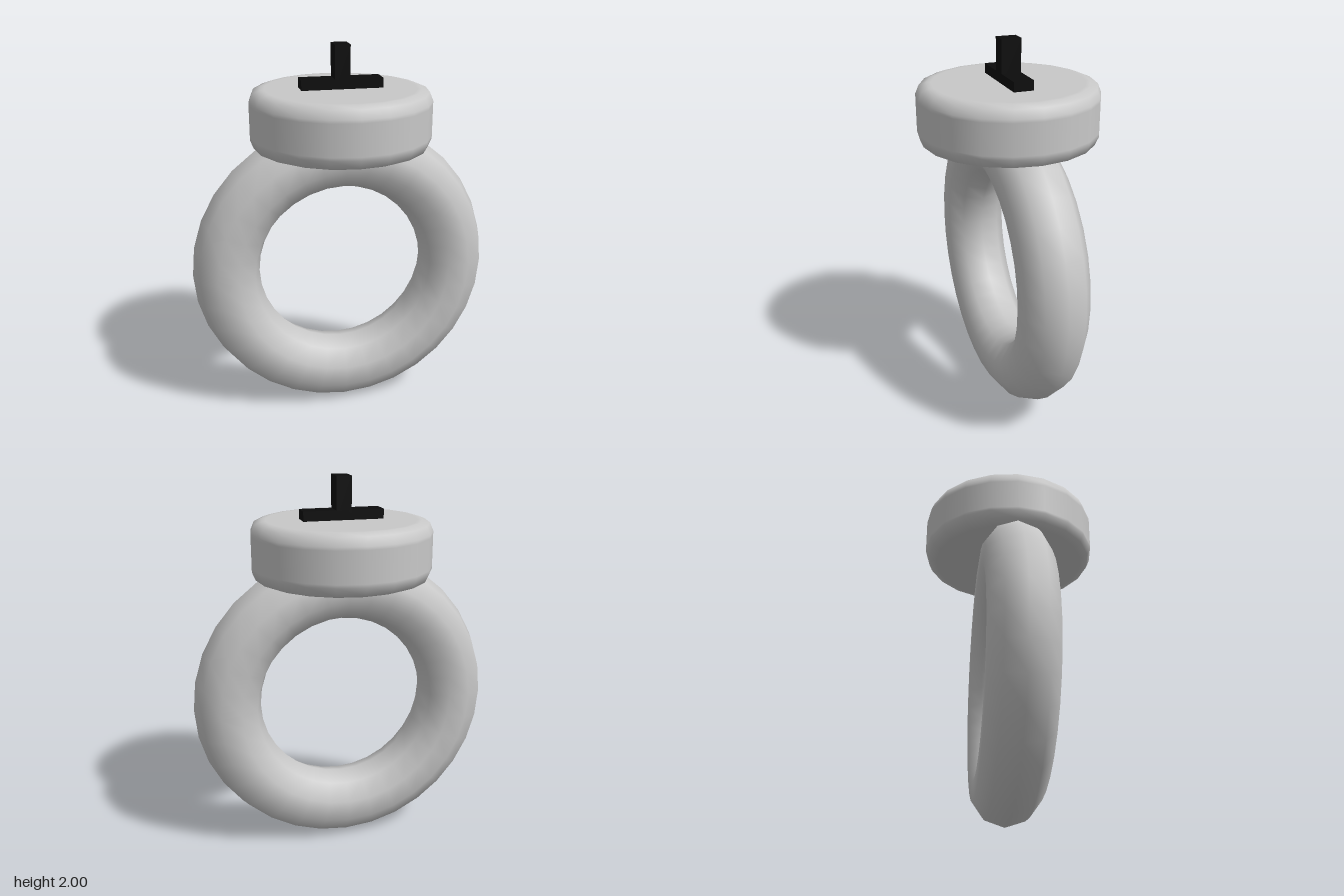
import * as THREE from 'three';

export function createModel() {
  const group = new THREE.Group();
  const metal = new THREE.MeshStandardMaterial({ color: 0xc8c8c8 });
  metal.name = 'grey metal';
  const black = new THREE.MeshStandardMaterial({ color: 0x0c0c0c });
  black.name = 'black';

  const add = (name, geometry, material, y) => {
    const mesh = new THREE.Mesh(geometry, material);
    mesh.name = name;
    mesh.position.y = y;
    group.add(mesh);
  };

  // Upright ring, ten-sided in section
  add('ringBand', new THREE.TorusGeometry(0.627, 0.178, 10, 32), metal, 0.805);

  // Round head with bevelled rims: half profile mirrored about its middle
  const half = [[0, 0.155], [0.39, 0.155], [0.413, 0.155], [0.452, 0.14], [0.47, 0.097], [0.47, 0.08]];
  const profile = [
    ...half.map(([r, y]) => new THREE.Vector2(r, -y)),
    ...half.slice().reverse().map(([r, y]) => new THREE.Vector2(r, y)),
  ];
  add('ringHead', new THREE.LatheGeometry(profile, 20), metal, 1.625);

  // Raised emblem: a flat bar with an upright post
  add('emblemBar', new THREE.BoxGeometry(0.42, 0.06, 0.104), black, 1.8);
  add('emblemPost', new THREE.BoxGeometry(0.08, 0.22, 0.104), black, 1.89);

  return group;
}
